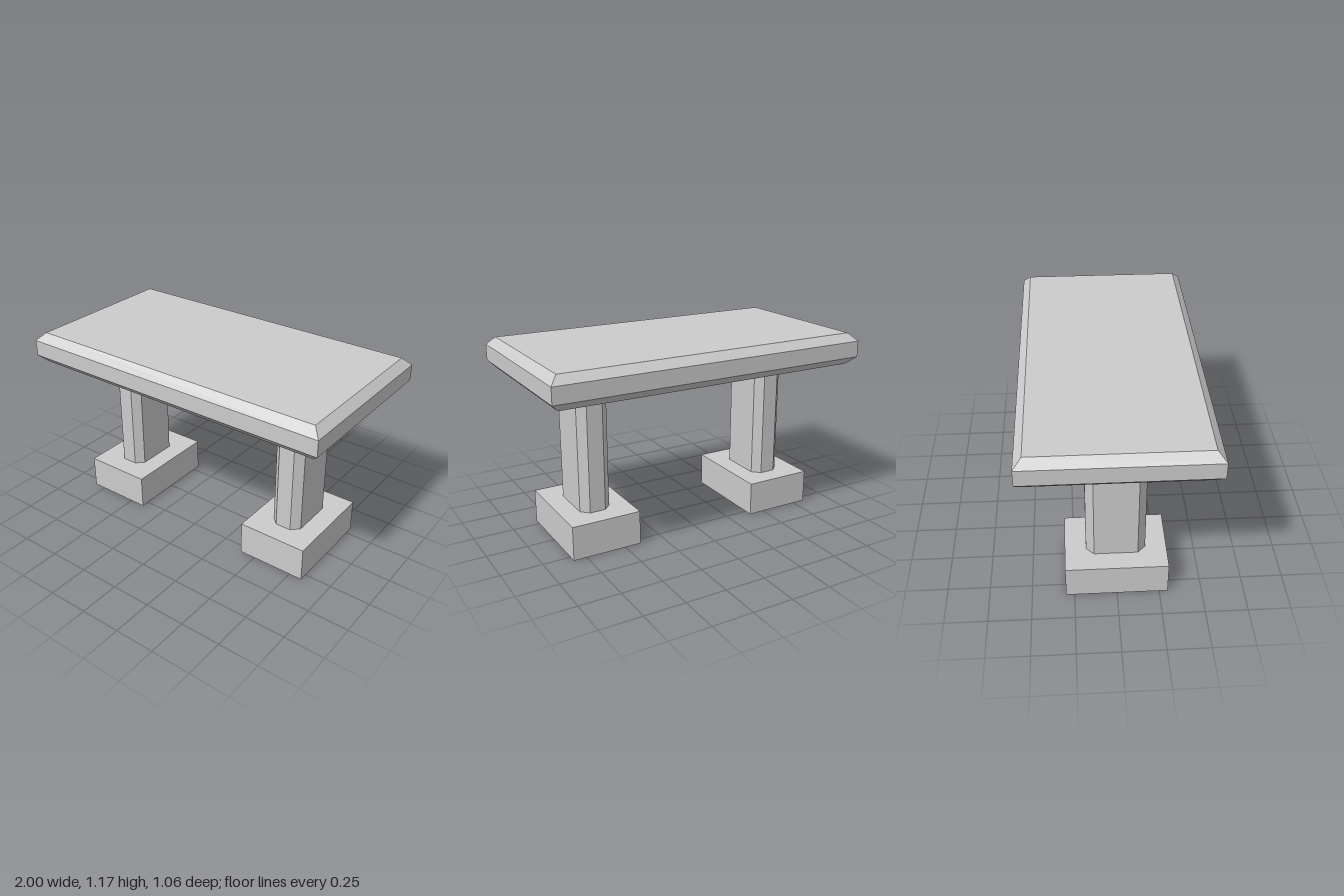
import * as THREE from 'three';

const material = new THREE.MeshStandardMaterial({ color: 0xcccccc, flatShading: true });

// Rectangle outline with corners cut by c (c = 0 keeps them square)
function outline(hx, hz, c) {
  const points = [];
  for (const [sx, sz] of [[1, 1], [-1, 1], [-1, -1], [1, -1]]) {
    const a = [sx * hx, sz * (hz - c)];
    const b = [sx * (hx - c), sz * hz];
    const pair = c === 0 ? [a] : sx * sz > 0 ? [a, b] : [b, a];
    points.push(...pair.map(([x, z]) => new THREE.Vector2(x, z)));
  }
  return new THREE.Shape(points);
}

// Extrudes an outline upwards from y0 to y1, with optional bevelled rims
function slab(name, shape, y0, y1, bevel = 0) {
  const geometry = new THREE.ExtrudeGeometry(shape, {
    depth: y1 - y0 - 2 * bevel,
    bevelEnabled: bevel > 0,
    bevelThickness: bevel,
    bevelSize: bevel,
    bevelOffset: -bevel,
    bevelSegments: 1,
  });
  geometry.rotateX(-Math.PI / 2);
  geometry.translate(0, y0 + bevel, 0);
  const mesh = new THREE.Mesh(geometry, material);
  mesh.name = name;
  return mesh;
}

export function createModel() {
  const table = new THREE.Group();
  table.name = 'stoneTable';

  // Bevelled table top
  table.add(slab('tableTop', outline(1, 0.53, 0), 0.973, 1.167, 0.048));

  // Two supports: a chamfered pillar on a block foot
  for (const [side, s] of [['left', 1], ['right', -1]]) {
    const support = new THREE.Group();
    support.name = side + 'Support';
    support.add(slab('pillar', outline(0.095, 0.175, 0.046), 0.21, 0.973));
    const foot = new THREE.Mesh(new THREE.BoxGeometry(0.43, 0.21, 0.6), material);
    foot.name = 'foot';
    foot.position.y = 0.105;
    support.add(foot);
    support.position.x = s * 0.615;
    table.add(support);
  }
  return table;
}
